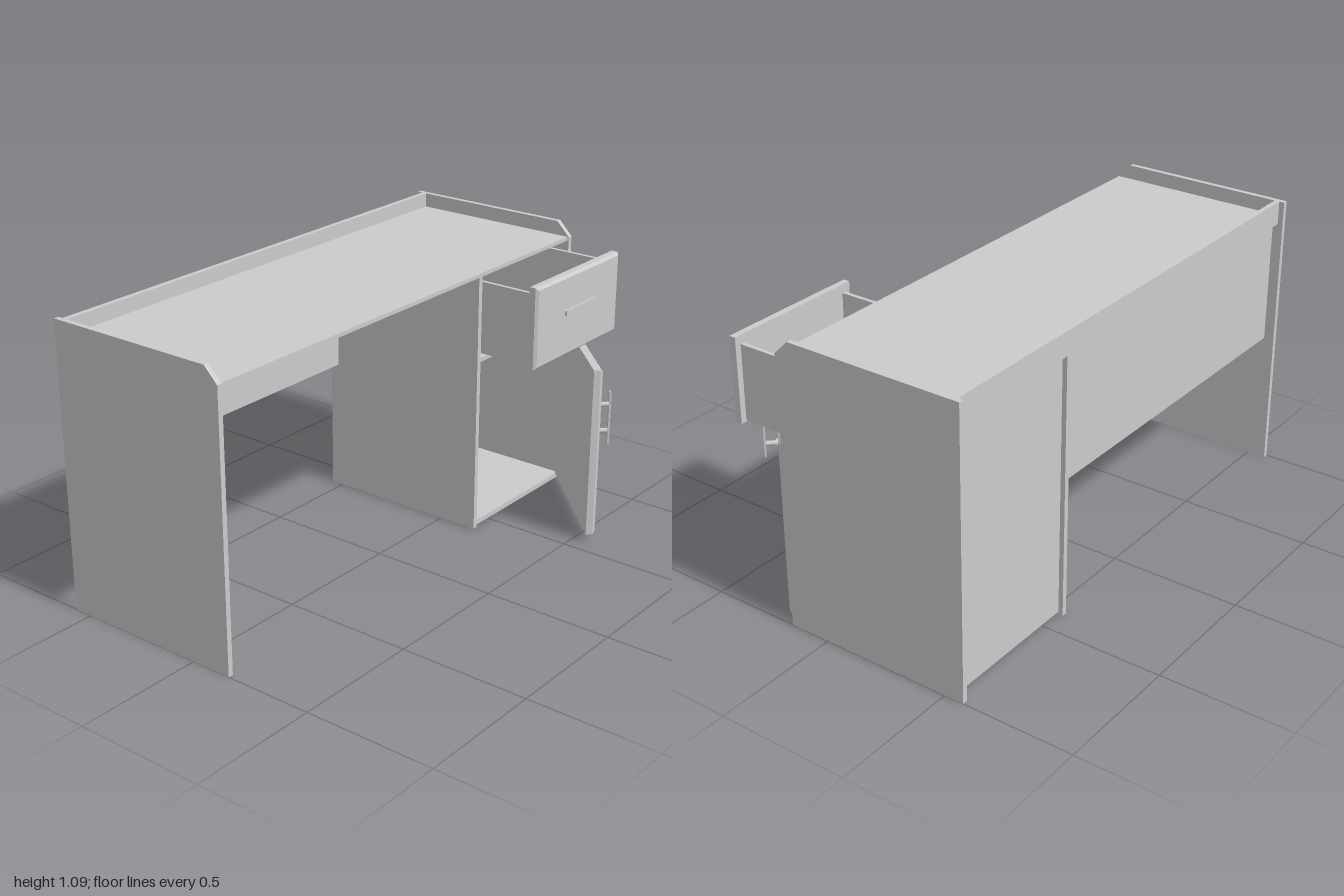
import * as THREE from 'three';

const material = new THREE.MeshStandardMaterial({ color: 0xcccccc, side: THREE.DoubleSide });

function add(parent, name, geometry) {
  const mesh = new THREE.Mesh(geometry, material);
  mesh.name = name;
  parent.add(mesh);
  return mesh;
}

// Box given by its limits on each axis
function board(parent, name, x0, x1, y0, y1, z0, z1) {
  const mesh = add(parent, name, new THREE.BoxGeometry(x1 - x0, y1 - y0, z1 - z0));
  mesh.position.set((x0 + x1) / 2, (y0 + y1) / 2, (z0 + z1) / 2);
  return mesh;
}

// Front panel with chamfered outer edges; its outer face lies at z = 0
function bevelledPanel(parent, name, w, h, t, bevel = 0.01) {
  let geo = new THREE.BoxGeometry(w, h, t, 1, 1, 2);
  const p = geo.attributes.position;
  for (let i = 0; i < p.count; i++) {
    const z = p.getZ(i);
    if (z > t / 4) {
      p.setX(i, p.getX(i) - Math.sign(p.getX(i)) * bevel);
      p.setY(i, p.getY(i) - Math.sign(p.getY(i)) * bevel);
    } else if (z > -t / 4) p.setZ(i, t / 2 - bevel);
  }
  geo = geo.toNonIndexed();
  geo.computeVertexNormals();
  geo.translate(0, 0, -t / 2);
  return add(parent, name, geo);
}

// Flat bar along x on two round posts with flanges
function makeHandle(parent, name, standoff) {
  const handle = new THREE.Group();
  handle.name = name;
  board(handle, 'handleBar', -0.103, 0.103, -0.01, 0.01, standoff - 0.007, standoff);
  for (const x of [-0.053, 0.053]) {
    const post = add(handle, 'handlePost', new THREE.CylinderGeometry(0.009, 0.009, standoff, 16));
    post.rotation.x = Math.PI / 2;
    post.position.set(x, 0, standoff / 2 - 0.002);
    const flange = add(handle, 'handleFlange', new THREE.CylinderGeometry(0.015, 0.015, 0.009, 16));
    flange.rotation.x = Math.PI / 2;
    flange.position.set(x, 0, 0.002);
  }
  parent.add(handle);
  return handle;
}

export function createModel() {
  const desk = new THREE.Group();
  desk.name = 'desk';

  // Side panels with a clipped upper front corner
  const outline = new THREE.Shape([
    [0.575, 0], [0.575, 1.09], [-0.105, 1.09], [-0.16, 1.035], [-0.16, 0],
  ].map(([x, y]) => new THREE.Vector2(x, y)));
  for (const x of [-1, 0.98]) {
    const geo = new THREE.ExtrudeGeometry(outline, { depth: 0.02, bevelEnabled: false });
    geo.rotateY(Math.PI / 2);
    add(desk, x < 0 ? 'rightSidePanel' : 'leftSidePanel', geo).position.x = x;
  }

  // Top, rear rail and modesty panel
  board(desk, 'desktop', -0.98, 0.98, 1.02, 1.035, -0.54, 0.155);
  board(desk, 'rearRail', -0.98, 0.98, 1.0, 1.09, -0.555, -0.535);
  board(desk, 'modestyPanel', -0.98, 0.39, 0.52, 1.02, -0.535, -0.518);

  // Cabinet carcass
  board(desk, 'cabinetDivider', 0.39, 0.41, 0, 1.02, -0.553, 0.155);
  board(desk, 'cabinetBack', 0.41, 0.98, 0.01, 1.02, -0.535, -0.518);
  board(desk, 'cabinetBottom', 0.41, 0.98, 0.01, 0.03, -0.518, 0.155);
  board(desk, 'cabinetShelf', 0.41, 0.98, 0.685, 0.702, -0.518, 0.155);

  // Pulled-out drawer, open at the top
  const drawer = new THREE.Group();
  drawer.name = 'drawer';
  desk.add(drawer);
  const [x0, x1, y0, y1, z0, z1] = [0.435, 0.95, 0.71, 0.99, -0.28, 0.36];
  const t = 0.015;
  board(drawer, 'drawerSide', x0, x0 + t, y0, y1, z0, z1);
  board(drawer, 'drawerSide', x1 - t, x1, y0, y1, z0, z1);
  board(drawer, 'drawerBack', x0 + t, x1 - t, y0, y1, z0, z0 + t);
  board(drawer, 'drawerBottom', x0 + t, x1 - t, y0, y0 + t, z0 + t, z1);
  bevelledPanel(drawer, 'drawerFront', 0.56, 0.317, 0.035).position.set(0.693, 0.863, 0.395);
  makeHandle(drawer, 'drawerHandle', 0.012).position.set(0.698, 0.88, 0.395);

  // Door swung open on its hinge edge
  const door = new THREE.Group();
  door.name = 'door';
  door.position.set(0.992, 0, 0.178);
  door.rotation.y = Math.PI / 4;
  desk.add(door);
  bevelledPanel(door, 'doorPanel', 0.566, 0.67, 0.036).position.set(-0.283, 0.365, 0);
  const handle = makeHandle(door, 'doorHandle', 0.05);
  handle.position.set(-0.497, 0.483, 0);
  handle.rotation.z = Math.PI / 2;

  return desk;
}
